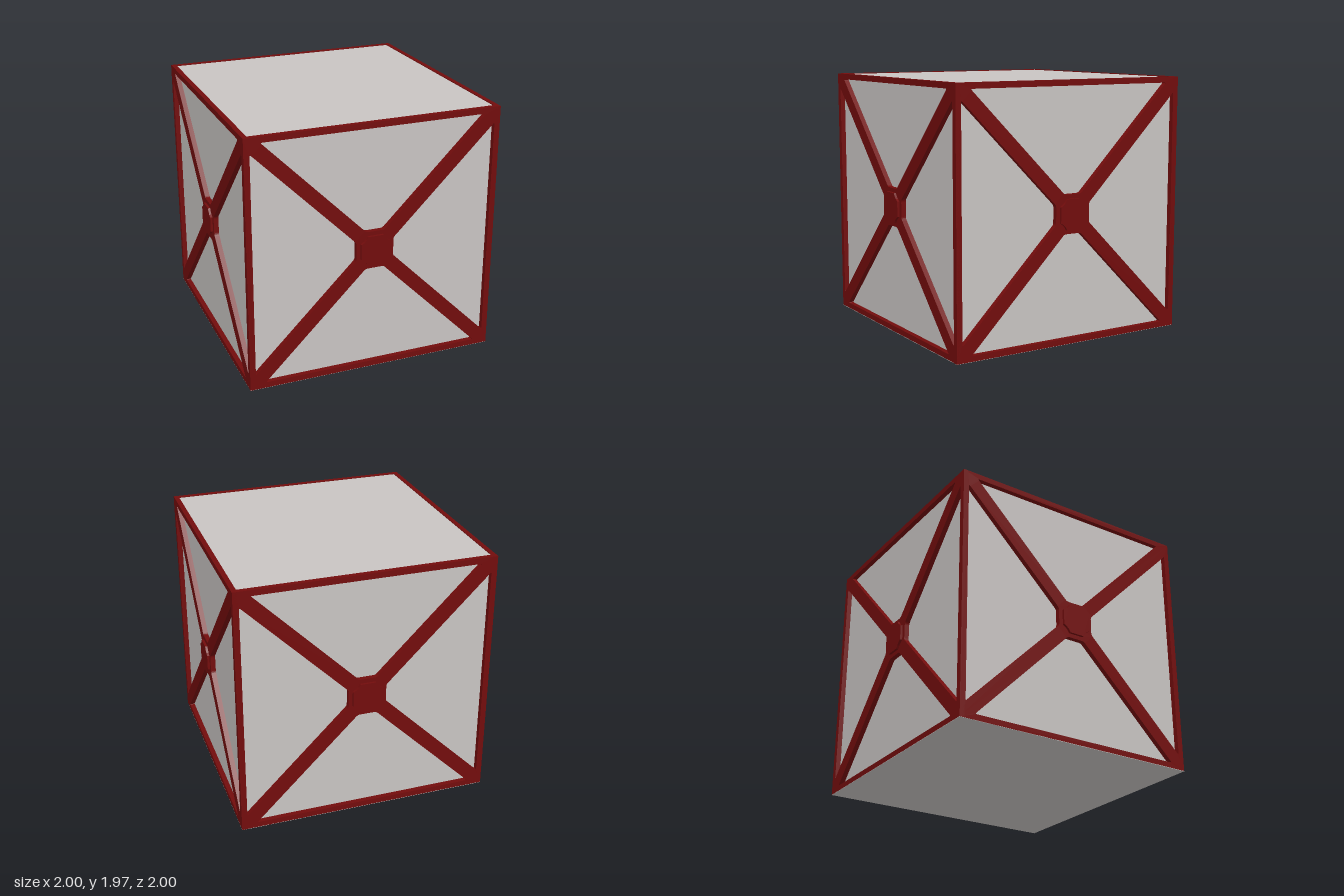
import * as THREE from 'three';

const HALF = 0.982;      // half the crate's width
const HEIGHT = 1.964;
const MID = HEIGHT / 2;
const DEPTH = 0.038;     // how far the side panels sit back

// Closed outline with slightly clipped, softened corners
function softOutline(points, radius, target) {
  const v = points.map(([x, y]) => new THREE.Vector2(x, y));
  v.forEach((p, i) => {
    const before = v[(i + v.length - 1) % v.length];
    const after = v[(i + 1) % v.length];
    const a = p.clone().add(before.clone().sub(p).setLength(radius));
    const b = p.clone().add(after.clone().sub(p).setLength(radius));
    if (i === 0) target.moveTo(a.x, a.y);
    else target.lineTo(a.x, a.y);
    target.quadraticCurveTo(p.x, p.y, b.x, b.y);
  });
  target.closePath();
  return target;
}

function square(h) {
  return [[-h, -h], [h, -h], [h, h], [-h, h]];
}

// Square border with crossed braces, left by four trapezoid openings
function braceGeometry() {
  const shape = new THREE.Shape(square(HALF).map(([x, y]) => new THREE.Vector2(x, y)));
  const edge = 0.938, hub = 0.147, brace = 0.075;
  const opening = [
    [-(hub - brace), hub], [hub - brace, hub],
    [edge - brace, edge], [-(edge - brace), edge],
  ];
  for (let i = 0; i < 4; i++) {
    const c = [1, 0, -1, 0][i], s = [0, 1, 0, -1][i];
    const turned = opening.map(([x, y]) => [x * c - y * s, x * s + y * c]);
    shape.holes.push(softOutline(turned, 0.016, new THREE.Path()));
  }
  return new THREE.ExtrudeGeometry(shape, { depth: DEPTH, bevelEnabled: false, curveSegments: 3 });
}

// Raised centre plate with notched corners
function hubGeometry() {
  const quarter = [[0.115, 0.06], [0.092, 0.074], [0.074, 0.092], [0.06, 0.115]];
  const points = [];
  for (let i = 0; i < 4; i++) {
    const c = [1, 0, -1, 0][i], s = [0, 1, 0, -1][i];
    quarter.forEach(([x, y]) => points.push(new THREE.Vector2(x * c - y * s, x * s + y * c)));
  }
  return new THREE.ExtrudeGeometry(new THREE.Shape(points), { depth: 0.018, bevelEnabled: false });
}

export function createModel() {
  const red = new THREE.MeshStandardMaterial({ color: 0x720c0c });
  red.name = 'dark red frame';
  const grey = new THREE.MeshStandardMaterial({ color: 0xc8c4c2 });
  grey.name = 'light grey panel';

  const model = new THREE.Group();
  model.name = 'crate';
  const add = (parent, name, geometry, material, x, y, z) => {
    const mesh = new THREE.Mesh(geometry, material);
    mesh.name = name;
    mesh.position.set(x, y, z);
    parent.add(mesh);
    return mesh;
  };

  // Inner body that shows as the side and top panels
  const inner = 2 * (HALF - DEPTH);
  add(model, 'panels', new THREE.BoxGeometry(inner, HEIGHT - 0.006, inner), grey, 0, MID - 0.002, 0);

  // Four braced sides, each with its raised hub
  const brace = braceGeometry();
  const hub = hubGeometry();
  ['front', 'left', 'back', 'right'].forEach((name, i) => {
    const side = new THREE.Group();
    side.name = name + 'Side';
    side.rotation.y = i * Math.PI / 2;
    add(side, 'bracedFrame', brace, red, 0, MID, HALF - DEPTH);
    add(side, 'hubPlate', hub, red, 0, MID, HALF);
    model.add(side);
  });

  // Top rim with softened inner corners
  const rimShape = new THREE.Shape(square(HALF).map(([x, y]) => new THREE.Vector2(x, y)));
  rimShape.holes.push(softOutline(square(0.946), 0.015, new THREE.Path()));
  const rim = add(model, 'topRim',
    new THREE.ExtrudeGeometry(rimShape, { depth: 0.02, bevelEnabled: false, curveSegments: 3 }),
    red, 0, HEIGHT, 0);
  rim.rotation.x = Math.PI / 2;

  // Plain base covering the whole underside
  add(model, 'base', new THREE.BoxGeometry(2 * HALF, 0.003, 2 * HALF), grey, 0, 0.0, 0);

  // Stand the crate exactly on the ground
  model.children.forEach((part) => { part.position.y += 0.0015; });
  return model;
}
